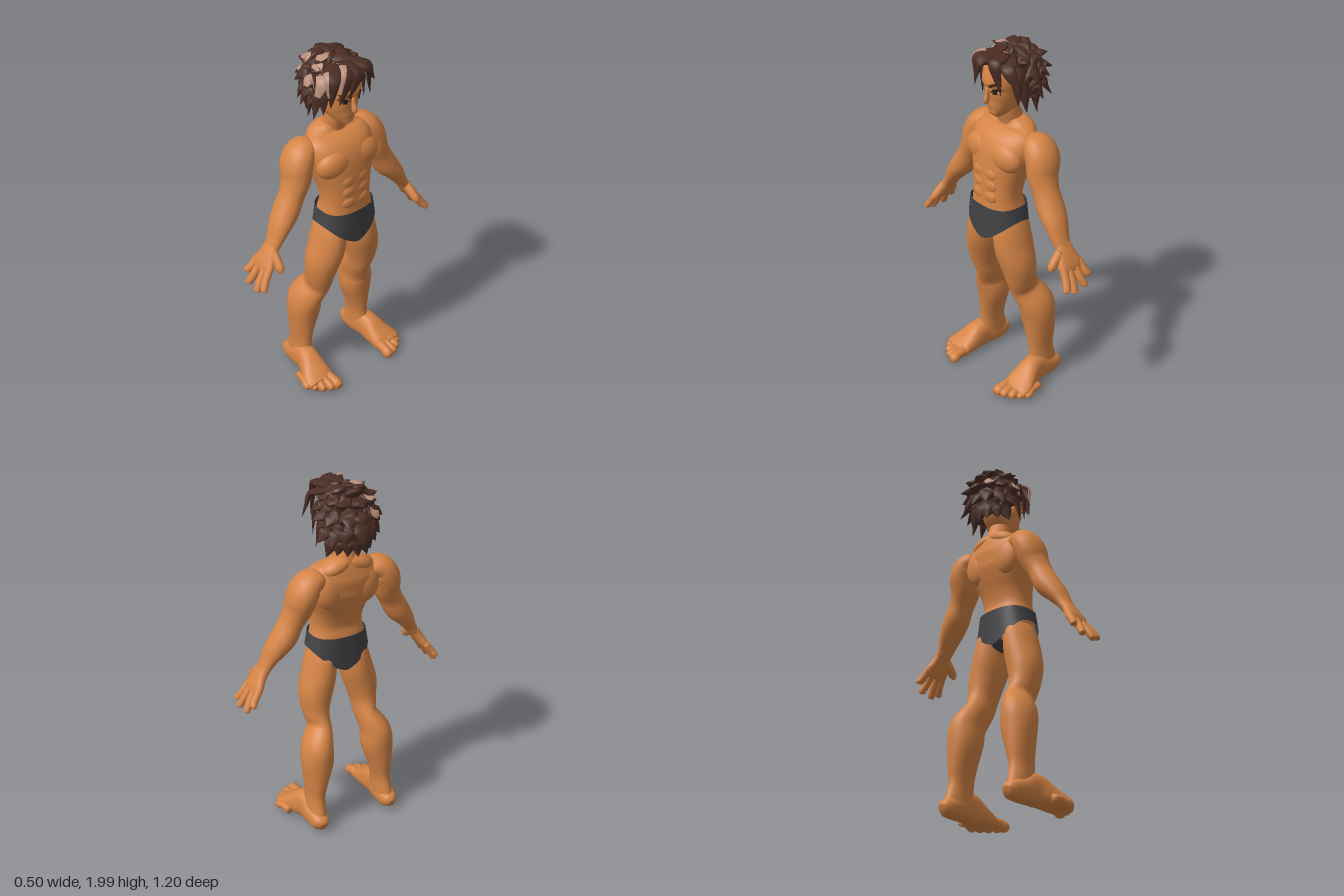
import * as THREE from 'three';

const mat = (name, color, side = THREE.FrontSide) => {
  const m = new THREE.MeshStandardMaterial({ color, side });
  m.name = name;
  return m;
};
const V = (x, y, z) => new THREE.Vector3(x, y, z);

// Grid surface from a rule; wraps around in v when closed
function grid(nu, nv, closed, rule) {
  const pos = [], index = [], row = closed ? nv : nv + 1;
  for (let i = 0; i <= nu; i++)
    for (let j = 0; j < row; j++) pos.push(...rule(i, j / nv).toArray());
  for (let i = 0; i < nu; i++)
    for (let j = 0; j < nv; j++) {
      const k = (j + 1) % row, a = i * row + j, b = i * row + k;
      index.push(a, b, a + row, b, b + row, a + row);
    }
  const g = new THREE.BufferGeometry();
  g.setAttribute('position', new THREE.Float32BufferAttribute(pos, 3));
  g.setIndex(index);
  g.computeVertexNormals();
  return g;
}

const power = (v, e) => Math.sign(v) * Math.abs(v) ** e;

// Smooth skin over sections [x, y, z, side radius, radius toward ref]
function loft(sections, { ref = V(0, 0, 1), n = 2, seg = 24, steps = 4, from = 0, to = 1, arc = null } = {}) {
  const path = new THREE.CatmullRomCurve3(sections.map(s => V(s[0], s[1], s[2])));
  const radii = new THREE.CatmullRomCurve3(sections.map(s => V(s[3], s[4], 0)), false, 'catmullrom', 0.5);
  const rows = (sections.length - 1) * steps;
  const ends = arc ? 0 : 1;
  return grid(rows + 2 * ends, seg, !arc, (i, v) => {
    const k = Math.min(Math.max(i - ends, 0), rows);
    const t = from + (to - from) * k / rows;
    const c = path.getPoint(t), T = path.getTangent(t), r = radii.getPoint(t);
    if (ends && (i === 0 || i === rows + 2)) return c;
    const F = ref.clone().addScaledVector(T, -ref.dot(T)).normalize();
    const S = F.clone().cross(T);
    const th = arc ? arc[0] + (arc[1] - arc[0]) * v : v * Math.PI * 2;
    return c.addScaledVector(S, Math.max(r.x, 0.0005) * power(Math.cos(th), 2 / n))
      .addScaledVector(F, Math.max(r.y, 0.0005) * power(Math.sin(th), 2 / n));
  });
}

export function createModel() {
  const skin = mat('skin', 0xd58446), hair = mat('hair brown', 0x4a2d24);
  const shine = mat('hair highlight', 0xb98f7c, THREE.DoubleSide);
  const cloth = mat('dark cloth', 0x434346, THREE.DoubleSide);
  const dark = mat('eye dark', 0x2c1c18, THREE.DoubleSide);
  const white = mat('eye white', 0xd8c8c0, THREE.DoubleSide);
  const lip = mat('mouth line', 0x8a4a2c, THREE.DoubleSide);
  const body = new THREE.Group();
  body.name = 'figure';
  const add = (name, geo, m = skin) => {
    const mesh = new THREE.Mesh(geo, m);
    mesh.name = name;
    body.add(mesh);
    return mesh;
  };
  const blob = (name, p, r, m = skin, rz = 0) => {
    const b = add(name, new THREE.SphereGeometry(1, 24, 16), m);
    b.position.set(...p);
    b.scale.set(...r);
    b.rotation.z = rz;
    return b;
  };

  // Torso, neck
  add('torso', loft([[0, .95, .03, .09, .09], [0, 1.02, .035, .15, .112], [0, 1.1, .04, .154, .113],
    [0, 1.18, .045, .141, .104], [0, 1.27, .035, .15, .112], [0, 1.36, .015, .178, .127],
    [0, 1.44, -.008, .2, .13], [0, 1.51, -.038, .195, .104], [0, 1.555, -.05, .15, .07],
    [0, 1.6, -.045, .07, .05]], { n: 2.4, seg: 40 }));
  add('neck', loft([[0, 1.5, -.055, .08, .07], [0, 1.58, -.045, .068, .066], [0, 1.64, -.025, .062, .062],
    [0, 1.74, -.015, .06, .06]]));

  // Briefs, with a rising leg line, and the piece between the legs
  add('briefs', grid(12, 64, true, (i, v) => {
    const th = -v * Math.PI * 2, c = power(Math.cos(th), .77), s = power(Math.sin(th), .77);
    const y = THREE.MathUtils.lerp(1.135, .93 + .125 * Math.abs(c) ** 1.35, i / 12);
    const a = THREE.MathUtils.mapLinear(y, 1.135, 1.02, .156, .178);
    return V(a * c, y, .04 + .123 * s);
  }), cloth);
  add('briefsGusset', loft([[0, 1.05, .04, .1, .12], [0, .985, .04, .068, .12], [0, .945, .04, .045, .115],
    [0, .925, .04, .03, .09], [0, .917, .04, .015, .05]], { n: 2.6 }), cloth);

  for (const s of [-1, 1]) {
    const side = s > 0 ? 'left' : 'right';
    const limb = (name, sections, opt) =>
      add(side + name, loft(sections.map(([x, ...r]) => [x * s, ...r]), opt));

    // Chest, belly and back muscles
    blob(side + 'Pectoral', [.084 * s, 1.42, .068], [.113, .085, .066], skin, -.12 * s);
    blob(side + 'ShoulderBlade', [.1 * s, 1.43, -.08], [.085, .11, .052]);
    blob(side + 'Trapezius', [.062 * s, 1.555, -.065], [.095, .045, .062], skin, -.35 * s);
    for (let k = 0; k < 3; k++)
      blob(side + 'Abdominal', [.038 * s, 1.19 + k * .065, .131 - k * .003], [.05, .04, .022]);

    // Arm
    limb('Arm', [[.14, 1.5, -.05, .045, .06], [.205, 1.485, -.05, .07, .09], [.245, 1.425, -.045, .078, .098],
      [.262, 1.35, -.03, .073, .088], [.297, 1.275, -.022, .064, .074], [.34, 1.195, -.018, .066, .077],
      [.39, 1.13, -.008, .054, .07], [.435, 1.06, 0, .036, .054], [.462, 1.015, 0, .03, .048]]);
    limb('Palm', [[.45, 1.04, 0, .028, .045], [.485, .985, .002, .028, .06], [.512, .94, 0, .026, .078],
      [.53, .91, 0, .017, .07]], { n: 2.4 });
    const fingers = [[-.058, .565, .865, -.085], [-.02, .585, .822, -.043], [.018, .59, .816, .035], [.052, .58, .835, .08]];
    for (const [zb, x, y, z] of fingers)
      limb('Finger', [[.51, .945, zb, .02, .022], [(x + .53) / 2, (y + .92) / 2, (z + zb) / 2, .02, .022],
        [x - .003, y + .006, z, .017, .02], [x, y, z, .009, .011]], { seg: 12 });
    limb('Thumb', [[.47, 1.01, .03, .024, .03], [.475, .975, .07, .024, .028], [.48, .948, .1, .021, .024],
      [.484, .93, .113, .011, .012]], { seg: 12 });

    // Leg
    limb('Leg', [[.085, 1.06, .035, .06, .09], [.096, .99, .035, .077, .112], [.115, .88, .032, .089, .116],
      [.14, .78, .022, .09, .103], [.148, .68, .005, .072, .09], [.146, .6, -.025, .06, .09],
      [.183, .5, -.073, .083, .107], [.19, .41, -.085, .089, .1], [.202, .3, -.09, .067, .089],
      [.21, .2, -.09, .05, .08], [.214, .12, -.095, .05, .092], [.217, .05, -.105, .05, .1]], { seg: 28 });
    blob(side + 'Kneecap', [.145 * s, .61, .022], [.045, .06, .043]);

    // Foot and toes
    const up = V(0, 1, 0);
    limb('Foot', [[.225, .045, -.212, .022, .024], [.222, .055, -.19, .045, .045], [.222, .072, -.1, .058, .065],
      [.228, .09, -.02, .058, .086], [.242, .065, .065, .077, .06], [.255, .045, .125, .088, .04],
      [.257, .037, .16, .075, .027]], { ref: up, n: 2.4 });
    const toes = [[.2, .194, .232, .031], [.235, .237, .222, .025], [.267, .277, .198, .024],
      [.293, .309, .165, .023], [.316, .335, .13, .022]];
    for (const [xb, x, z, r] of toes)
      limb('Toe', [[xb, .044, z - .11, r, r], [(x + xb) / 2, .044, z - .05, r * .9, r * .95],
        [x, .034, z - .014, r, r], [x, .03, z + .008, r * .6, r * .6]], { ref: up, seg: 12 });

    // Ear
    blob(side + 'Ear', [.097 * s, 1.745, -.015], [.013, .036, .022]);
  }

  // Head and nose
  const head = add('head', loft([[0, 1.628, .075, .024, .022], [0, 1.65, .056, .046, .052],
    [0, 1.7, .02, .077, .1], [0, 1.76, -.008, .092, .126], [0, 1.82, -.018, .1, .134],
    [0, 1.9, -.03, .092, .118], [0, 1.955, -.035, .05, .065]], { n: 2.3, seg: 40, steps: 5 }));
  add('nose', loft([[0, 1.79, .106, .008, .01], [0, 1.75, .114, .01, .014], [0, 1.722, .12, .014, .018],
    [0, 1.71, .112, .01, .01]], { seg: 12 }));

  // Painted face details laid onto the head
  head.updateMatrixWorld();
  const ray = new THREE.Raycaster();
  const paint = (name, points, m, lift) => {
    const shape = new THREE.Shape(points.map(p => new THREE.Vector2(...p)));
    const g = new THREE.ShapeGeometry(shape), p = g.attributes.position;
    for (let i = 0; i < p.count; i++) {
      ray.set(V(p.getX(i), p.getY(i), 1), V(0, 0, -1));
      const hit = ray.intersectObject(head)[0];
      p.setZ(i, (hit ? hit.point.z : .1) + lift);
    }
    g.computeVertexNormals();
    add(name, g, m);
  };
  for (const s of [-1, 1]) {
    const flip = pts => pts.map(([x, y]) => [x * s, y]);
    paint('eyeWhite', flip([[.026, 1.768], [.04, 1.764], [.06, 1.768], [.068, 1.784], [.045, 1.783]]), white, .004);
    paint('iris', flip([[.033, 1.762], [.055, 1.762], [.059, 1.784], [.036, 1.779]]), dark, .006);
    paint('eyelid', flip([[.02, 1.77], [.045, 1.779], [.076, 1.785], [.072, 1.797], [.042, 1.793]]), dark, .007);
    paint('brow', flip([[.016, 1.793], [.045, 1.806], [.08, 1.815], [.048, 1.826], [.018, 1.811]]), hair, .006);
  }
  paint('mouth', [[-.022, 1.674], [0, 1.672], [.022, 1.674], [0, 1.677]], lip, .004);

  // Hair: a cap covered in sharp tapering locks, some with a lit strip
  const mid = V(0, 1.84, -.055);
  const size = V(.128, .13, .138);
  const cap = blob('hairCap', mid.toArray(), size.toArray(), hair);
  cap.rotation.x = -.1;
  const lock = (a, b, c, w, arc) => {
    const out = b.clone().sub(mid).normalize();
    const q1 = a.clone().lerp(b, .55), q2 = b.clone().lerp(c, .5);
    const rows = (k) => [[a, .9], [q1, 1], [b, .8], [q2, .46], [c, .01]]
      .map(([p, f]) => [...p.toArray(), w * f * k, w * f * .42 * k]);
    add('hairLock', loft(rows(1), { ref: out, seg: 10, steps: 3 }), hair);
    if (arc) add('hairHighlight', loft(rows(1.06), { ref: out, seg: 6, steps: 3, from: .3, to: .8, arc }), shine);
  };
  let seed = 7;
  const rnd = () => (seed = (seed * 16807) % 2147483647) / 2147483647;
  // Rows: elevation, first azimuth from the front, count, length, droop
  const rows = [[62, 50, 5, .085, 0], [36, 68, 7, .105, .01], [10, 84, 7, .105, .03],
    [-16, 98, 7, .11, .05], [-42, 108, 7, .1, .06]];
  rows.forEach(([el, az0, count, len, droop], r) => {
    for (let k = 0; k < count; k++) {
      const az = (az0 + (360 - 2 * az0) * (k + (rnd() - .5) * .4) / (count - 1)) * Math.PI / 180;
      const e = el * Math.PI / 180;
      const d = V(Math.sin(az) * Math.cos(e), Math.sin(e), Math.cos(az) * Math.cos(e));
      const base = mid.clone().add(d.clone().multiply(size).multiplyScalar(.82));
      const L = len * (.8 + .35 * rnd());
      const b = base.clone().addScaledVector(d, .04).add(V(0, -droop * .4, -.016));
      const c = base.clone().addScaledVector(d, L * .8).add(V(0, -droop - .015, -.03 + .008 * r));
      lock(base, b, c, .054, d.x < -.4 && r < 3 && k % 2 === 0 && [.7, 2.4]);
    }
  });
  // Fringe, sideburns and crown: base, bend, tip, width, highlight arc
  const flank = [2.1, 3.5], face = [.6, 2.5];
  [[[.02, 1.945, .03], [-.05, 1.94, .135], [-.095, 1.775, .115], .05, flank],
    [[.02, 1.95, .03], [-.005, 1.95, .155], [-.06, 1.81, .145], .044],
    [[.03, 1.95, .03], [.075, 1.945, .13], [.105, 1.78, .115], .045],
    [[.04, 1.94, .01], [.125, 1.91, .08], [.185, 1.8, .06], .046],
    [[-.04, 1.94, .01], [-.11, 1.91, .085], [-.125, 1.76, .085], .048, flank],
    [[-.06, 1.92, -.02], [-.13, 1.88, .03], [-.18, 1.77, .025], .046, face],
    [[.08, 1.9, -.02], [.128, 1.85, .03], [.14, 1.71, .03], .042],
    [[-.09, 1.88, -.01], [-.128, 1.82, .03], [-.13, 1.7, .035], .042],
    [[.08, 1.86, -.06], [.125, 1.78, -.02], [.15, 1.66, -.02], .042],
    [[-.08, 1.86, -.06], [-.125, 1.78, -.02], [-.15, 1.66, -.02], .042],
    [[0, 1.93, -.06], [-.01, 1.97, 0], [.04, 1.975, .07], .05],
    [[-.03, 1.92, -.08], [-.06, 1.965, -.05], [-.13, 1.96, -.03], .05, face],
    [[.03, 1.92, -.08], [.05, 1.965, -.06], [.13, 1.94, -.05], .05],
    [[0, 1.93, -.04], [0, 1.975, -.06], [-.02, 1.995, -.13], .044],
  ].forEach(([a, b, c, w, arc]) => lock(V(...a), V(...b), V(...c), w, arc));

  // The figure looks toward +x
  body.rotation.y = Math.PI / 2;
  const model = new THREE.Group();
  model.name = 'standingFigure';
  model.add(body);
  return model;
}
